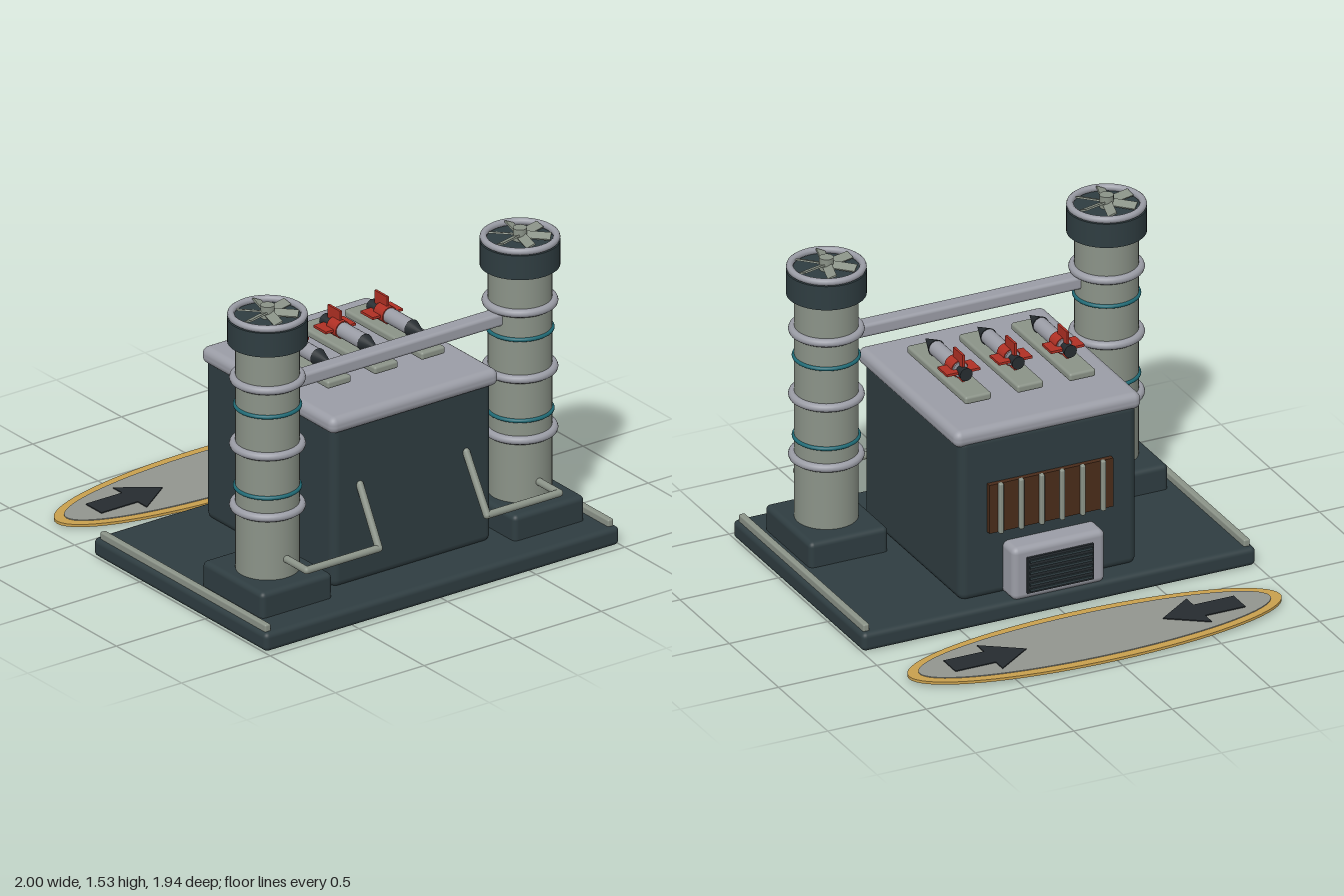
import * as THREE from 'three';
import { RoundedBoxGeometry } from 'three/addons/geometries/RoundedBoxGeometry.js';

const mat = (color) => new THREE.MeshStandardMaterial({ color });
const M = {
  dark: mat(0x2f3d41), stone: mat(0x8b9388), metal: mat(0x9b9da6), teal: mat(0x1f6a75),
  red: mat(0xb03024), brown: mat(0x4a2c1a), gold: mat(0xc9a04e), floor: mat(0x92958f),
  black: mat(0x262c30),
};

function add(parent, name, geometry, material, x = 0, y = 0, z = 0) {
  const mesh = new THREE.Mesh(geometry, material);
  mesh.name = name;
  mesh.position.set(x, y, z);
  parent.add(mesh);
  return mesh;
}

function group(parent, name, x = 0, y = 0, z = 0) {
  const g = new THREE.Group();
  g.name = name;
  g.position.set(x, y, z);
  parent.add(g);
  return g;
}

// Box given by its min and max corners, rounded when r > 0
function block(parent, name, material, [x0, y0, z0], [x1, y1, z1], r = 0) {
  const s = [x1 - x0, y1 - y0, z1 - z0];
  const geo = r ? new RoundedBoxGeometry(...s, 3, r) : new THREE.BoxGeometry(...s);
  return add(parent, name, geo, material, (x0 + x1) / 2, (y0 + y1) / 2, (z0 + z1) / 2);
}

const cyl = (r0, r1, h, n = 32) => new THREE.CylinderGeometry(r0, r1, h, n);

function ring(parent, name, material, radius, tube, y) {
  add(parent, name, new THREE.TorusGeometry(radius, tube, 10, 40), material, 0, y, 0).rotation.x = Math.PI / 2;
}

// Round pipe with mitred bends through a list of points
function pipe(parent, name, material, points, r) {
  const g = group(parent, name);
  const pts = points.map((p) => new THREE.Vector3(...p));
  pts.forEach((p, i) => {
    add(g, 'pipeJoint', new THREE.SphereGeometry(r, 14, 10), material, p.x, p.y, p.z);
    if (i === 0) return;
    const d = p.clone().sub(pts[i - 1]);
    const mid = p.clone().add(pts[i - 1]).multiplyScalar(0.5);
    const seg = add(g, 'pipeSegment', cyl(r, r, d.length(), 14), material, mid.x, mid.y, mid.z);
    seg.quaternion.setFromUnitVectors(new THREE.Vector3(0, 1, 0), d.normalize());
  });
}

// Cooling tower with bands, cap and fan
function tower(parent, side) {
  const t = group(parent, side > 0 ? 'leftTower' : 'rightTower', side * 0.712, 0, 0.588);
  block(t, 'pedestal', M.dark, [-0.2, 0.06, -0.235], [0.2, 0.215, 0.23], 0.025);
  add(t, 'shaft', cyl(0.147, 0.147, 1.2, 40), M.stone, 0, 0.8, 0);
  for (const y of [0.53, 0.835, 1.165]) ring(t, 'band', M.metal, 0.155, 0.02, y);
  for (const y of [0.625, 1.03]) ring(t, 'glowBand', M.teal, 0.148, 0.01, y);
  add(t, 'cap', cyl(0.184, 0.184, 0.12, 40), M.dark, 0, 1.405, 0);
  ring(t, 'rim', M.metal, 0.167, 0.017, 1.48);
  add(t, 'fanHub', cyl(0.033, 0.033, 0.065, 16), M.stone, 0, 1.493, 0);
  for (let i = 0; i < 6; i++) {
    const arm = group(t, 'fanArm', 0, 1.49, 0);
    arm.rotation.y = i * Math.PI / 3 + 0.25;
    add(arm, 'fanBlade', new THREE.BoxGeometry(0.115, 0.008, 0.045), M.stone, 0.085, 0, 0).rotation.x = 0.4;
  }
}

// Missile lying on its launch pad, nose to the front
function missile(parent, x) {
  const g = group(parent, 'launcher', x, 0, 0);
  block(g, 'launchPad', M.stone, [-0.067, 0.977, -0.065], [0.067, 1.015, 0.535], 0.012);
  const m = group(g, 'missile', 0, 1.062, 0);
  m.rotation.x = Math.PI / 2;
  add(m, 'missileBody', cyl(0.037, 0.037, 0.25, 20), M.metal, 0, 0.245, 0);
  add(m, 'noseCone', cyl(0.001, 0.041, 0.11, 20), M.black, 0, 0.42, 0);
  add(m, 'collar', cyl(0.042, 0.042, 0.07, 20), M.red, 0, 0.163, 0);
  add(m, 'nozzle', cyl(0.022, 0.032, 0.06, 16), M.black, 0, 0.09, 0);
  add(m, 'sideFins', new THREE.BoxGeometry(0.17, 0.095, 0.012), M.red, 0, 0.135, 0);
  add(m, 'topFin', new THREE.BoxGeometry(0.012, 0.095, 0.088), M.red, 0, 0.135, -0.044);
  add(m, 'lowerFin', new THREE.BoxGeometry(0.012, 0.095, 0.05), M.red, 0, 0.135, 0.025);
}

// Oval landing area with two arrows pointing inwards
function landingOval(parent) {
  const g = group(parent, 'landingOval', 0, 0, -0.712);
  const oval = (name, m, rx, rz, y, h) => add(g, name, cyl(1, 1, h, 72), m, 0, y, 0).scale.set(rx, 1, rz);
  oval('ovalBorder', M.gold, 0.943, 0.258, 0.0195, 0.013);
  oval('ovalFloor', M.floor, 0.89, 0.214, 0.023, 0.014);
  const shape = new THREE.Shape([
    [-0.195, -0.06], [0.01, -0.06], [0.01, -0.13], [0.195, 0], [0.01, 0.13], [0.01, 0.06], [-0.195, 0.06],
  ].map(([x, y]) => new THREE.Vector2(x, y)));
  const geo = new THREE.ExtrudeGeometry(shape, { depth: 0.006, bevelEnabled: false }).rotateX(-Math.PI / 2);
  for (const s of [-1, 1]) {
    add(g, 'arrow', geo, M.black, s * 0.542, 0.029, 0).rotation.y = s > 0 ? Math.PI : 0;
  }
}

export function createModel() {
  const root = new THREE.Group();
  root.name = 'launchFacility';

  // Base and main building
  block(root, 'base', M.dark, [-1, 0, -0.36], [1, 0.092, 0.967], 0.025);
  block(root, 'building', M.dark, [-0.45, 0.08, -0.25], [0.45, 0.9, 0.735], 0.04);
  block(root, 'roofSlab', M.metal, [-0.475, 0.862, -0.255], [0.475, 0.945, 0.76], 0.036);

  // Towers, curbs and feed pipes on both sides
  for (const s of [-1, 1]) {
    tower(root, s);
    block(root, 'curb', M.stone, [s * 0.967 - 0.016, 0.08, -0.33], [s * 0.967 + 0.016, 0.125, 0.94], 0.008);
    pipe(root, 'feedPipe', M.stone, [
      [s * 0.712, 0.308, 0.725], [s * 0.712, 0.308, 0.888], [s * 0.305, 0.308, 0.888], [s * 0.3, 0.57, 0.735],
    ], 0.018);
  }
  block(root, 'crossbar', M.metal, [-0.6, 1.085, 0.56], [0.6, 1.15, 0.64], 0.016);

  for (const x of [-0.265, 0, 0.265]) missile(root, x);

  // Barred window on the back
  block(root, 'windowPanel', M.brown, [-0.315, 0.415, -0.275], [0.315, 0.66, -0.24]);
  for (let i = 0; i < 6; i++) {
    const x = (i - 2.5) * 0.104;
    block(root, 'windowBar', M.stone, [x - 0.011, 0.41, -0.293], [x + 0.011, 0.663, -0.268], 0.006);
  }

  // Vent housing with slats on the back
  block(root, 'ventHousing', M.metal, [-0.235, 0.085, -0.358], [0.235, 0.35, -0.2], 0.03);
  block(root, 'ventOpening', M.black, [-0.168, 0.12, -0.37], [0.168, 0.3, -0.34]);
  for (let i = 0; i < 6; i++) {
    const y = 0.137 + i * 0.029;
    block(root, 'ventSlat', M.dark, [-0.16, y - 0.006, -0.379], [0.16, y + 0.006, -0.365]);
  }

  landingOval(root);
  return root;
}
